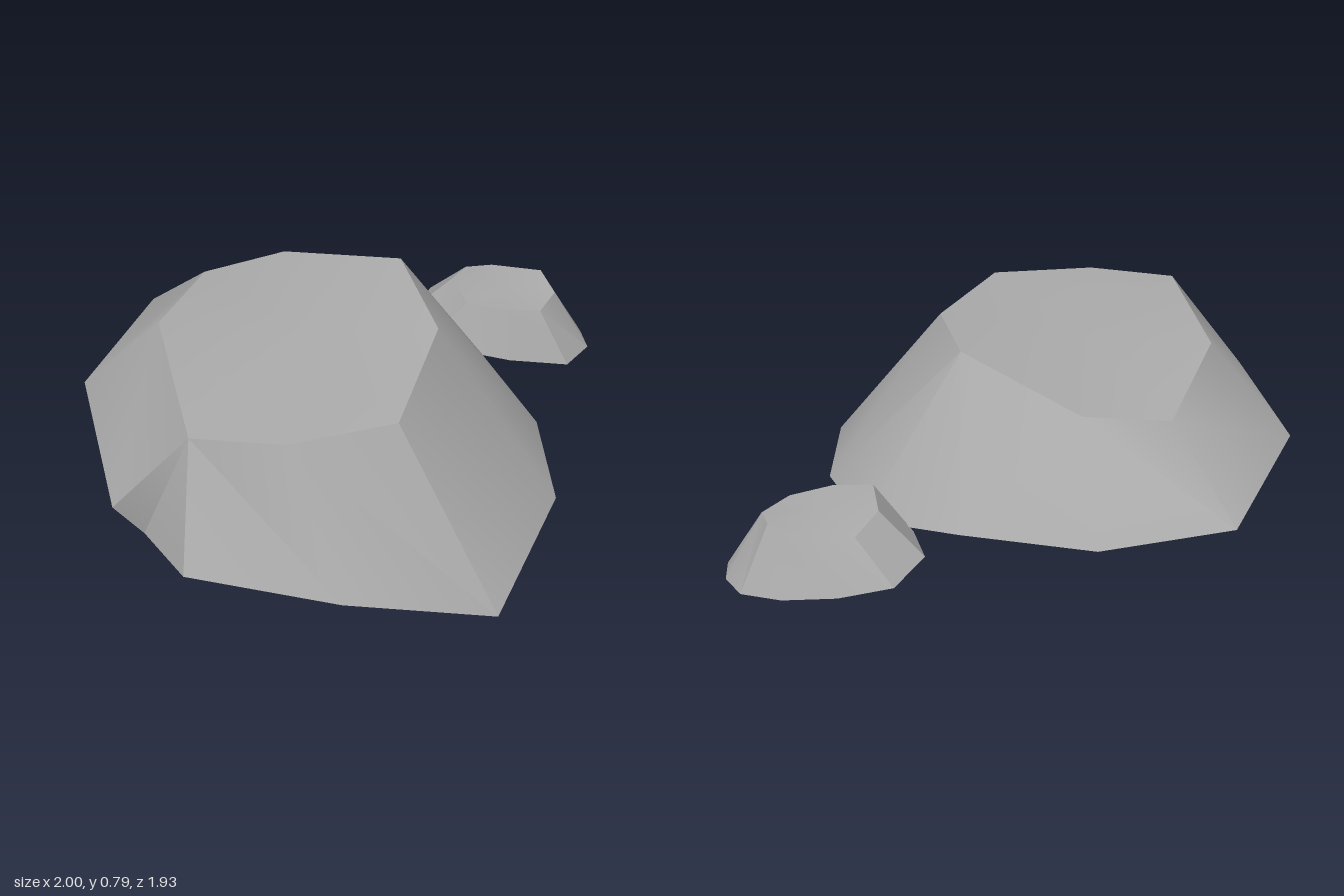
import * as THREE from 'three';
import { toCreasedNormals } from 'three/addons/utils/BufferGeometryUtils.js';

// Open-bottomed rock shell: a top ring capped by a fan, and a wider base ring.
// Both rings run counter-clockwise seen from above; each base point is
// [x, y, z, index of the top point it hangs from].
function rockShell(top, base, centre) {
  const tris = [];
  const add = (...pts) => pts.forEach((p) => tris.push(p[0], p[1], p[2]));

  top.forEach((p, i) => add(centre, p, top[(i + 1) % top.length]));

  base.forEach((b, i) => {
    const next = base[(i + 1) % base.length];
    add(b, next, top[b[3]]);
    if (next[3] !== b[3]) add(next, top[next[3]], top[b[3]]);
  });

  const geometry = new THREE.BufferGeometry();
  geometry.setAttribute('position', new THREE.Float32BufferAttribute(tris, 3));
  return toCreasedNormals(geometry, THREE.MathUtils.degToRad(33));
}

export function createModel() {
  const group = new THREE.Group();
  group.name = 'rocks';

  const stone = new THREE.MeshStandardMaterial({ color: 0xaaaaaa, side: THREE.DoubleSide });
  stone.name = 'grey stone';

  const addRock = (name, top, base, centre) => {
    const mesh = new THREE.Mesh(rockShell(top, base, centre), stone);
    mesh.name = name;
    group.add(mesh);
  };

  // Large boulder with a sloping flat top
  addRock(
    'largeRock',
    [
      [-0.69, 0.71, 0.05], [-0.53, 0.685, 0.7], [-0.2, 0.69, 0.74], [0.18, 0.7, 0.63],
      [0.33, 0.745, 0.13], [0.2, 0.79, -0.27], [-0.25, 0.675, -0.5], [-0.56, 0.63, -0.42],
    ],
    [
      [-1, 0.38, -0.03, 0], [-0.82, 0.335, 0.65, 1], [-0.72, 0.19, 0.62, 1],
      [-0.55, 0.275, 0.94, 1], [-0.01, 0.17, 0.965, 2], [0.54, 0, 0.84, 3],
      [0.78, 0.12, 0.33, 4], [0.74, 0.145, -0.1, 5], [0.54, 0.2, -0.49, 5],
      [0.16, 0.28, -0.68, 6], [-0.33, 0.3, -0.77, 6], [-0.8, 0.345, -0.655, 7],
    ],
    [-0.18, 0.72, 0.1],
  );

  // Small stone behind it
  addRock(
    'smallRock',
    [
      [0.43, 0.4, -0.74], [0.48, 0.395, -0.56], [0.63, 0.375, -0.545], [0.78, 0.345, -0.58],
      [0.85, 0.35, -0.71], [0.8, 0.38, -0.83], [0.6, 0.365, -0.895], [0.49, 0.37, -0.87],
    ],
    [
      [0.27, 0.235, -0.76, 0], [0.34, 0.215, -0.57, 1], [0.46, 0.2, -0.5, 1],
      [0.66, 0.165, -0.485, 2], [0.9, 0.12, -0.52, 3], [1, 0.105, -0.67, 4],
      [0.98, 0.11, -0.78, 4], [0.9, 0.125, -0.89, 5], [0.74, 0.15, -0.95, 5],
      [0.54, 0.185, -0.97, 6], [0.35, 0.22, -0.94, 7],
    ],
    [0.63, 0.375, -0.71],
  );

  return group;
}
